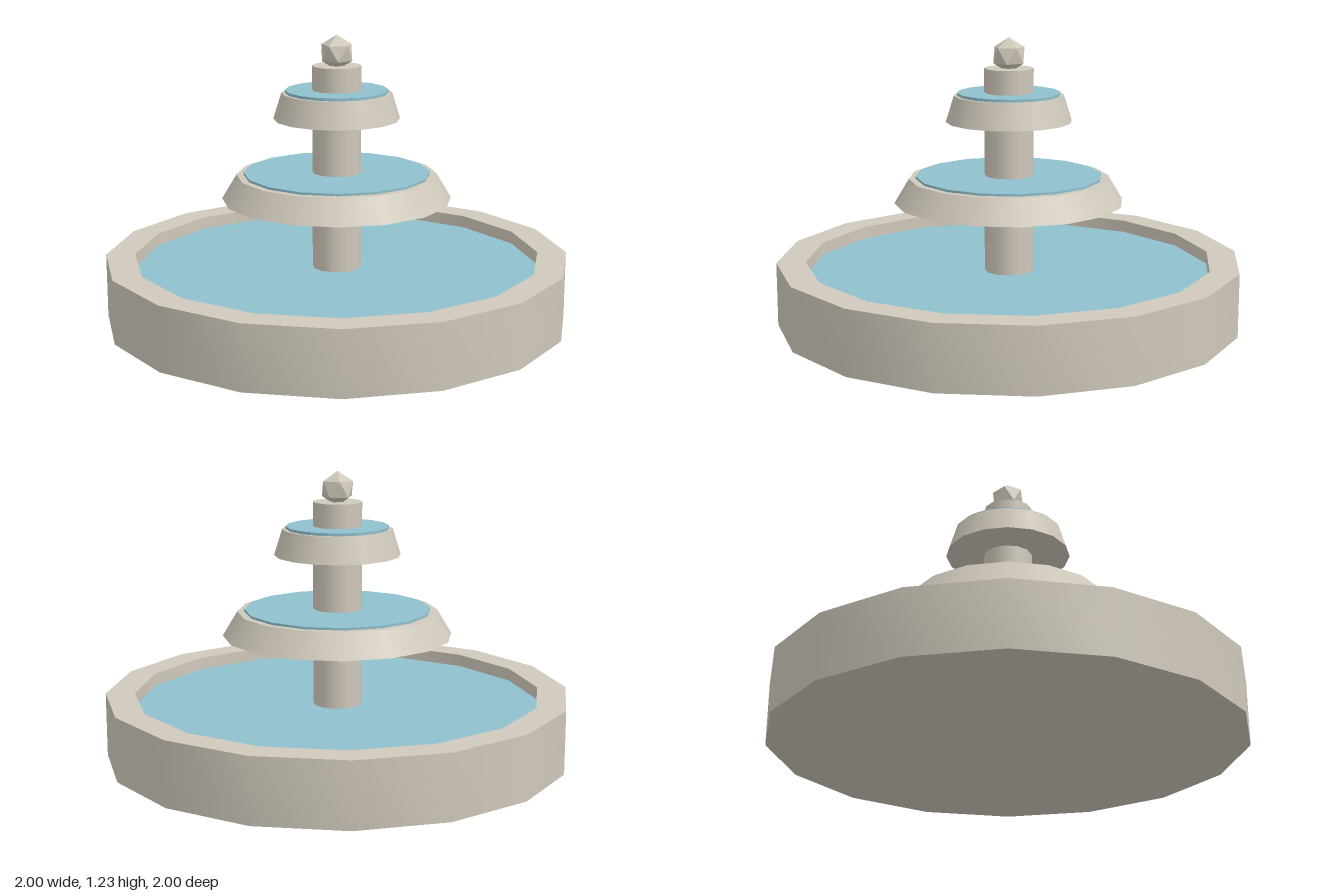
import * as THREE from 'three';
import { toCreasedNormals } from 'three/addons/utils/BufferGeometryUtils.js';
import { ConvexGeometry } from 'three/addons/geometries/ConvexGeometry.js';

const stone = new THREE.MeshStandardMaterial({ color: 0xcfc8bb });
const stoneFlat = new THREE.MeshStandardMaterial({ color: 0xcfc8bb, flatShading: true });
const water = new THREE.MeshStandardMaterial({ color: 0x8fc0cc });

export function createModel() {
  const fountain = new THREE.Group();
  fountain.name = 'fountain';

  const add = (name, geometry, material, y = 0) => {
    const mesh = new THREE.Mesh(geometry, material);
    mesh.name = name;
    mesh.position.y = y;
    fountain.add(mesh);
  };

  // Round solid between two heights
  const drum = (name, rTop, rBottom, y0, y1, material, sides = 16) =>
    add(name, new THREE.CylinderGeometry(rTop, rBottom, y1 - y0, sides), material, (y0 + y1) / 2);

  // Basin: floor, outer wall, rim and inner wall
  const profile = [[0, 0], [1, 0], [1, 0.275], [0.875, 0.275], [0.875, 0.05], [0, 0.05]]
    .map(([r, y]) => new THREE.Vector2(r, y));
  add('basin', toCreasedNormals(new THREE.LatheGeometry(profile, 16), 0.6), stone);
  drum('basinWater', 0.875, 0.875, 0.2, 0.22, water);

  // Central column
  drum('column', 0.105, 0.105, 0.01, 1.1, stone, 12);

  // Two flared tiers, each topped by a thin sheet of water
  drum('lowerTier', 0.43, 0.493, 0.525, 0.63, stone);
  drum('lowerWater', 0.4, 0.4, 0.62, 0.64, water);
  drum('upperTier', 0.235, 0.27, 0.873, 0.985, stone);
  drum('upperWater', 0.22, 0.22, 0.975, 0.997, water);

  // Finial: faceted ball of twenty triangles standing on a corner
  const r = 0.075;
  const corners = [new THREE.Vector3(0, r, 0), new THREE.Vector3(0, -r, 0)];
  for (let i = 0; i < 10; i++) {
    const a = (i * Math.PI) / 5;
    const h = i % 2 ? -1 : 1;
    corners.push(new THREE.Vector3(
      0.8944 * r * Math.cos(a), 0.4472 * r * h, 0.8944 * r * Math.sin(a)));
  }
  add('finial', new ConvexGeometry(corners), stoneFlat, 1.155);

  return fountain;
}
